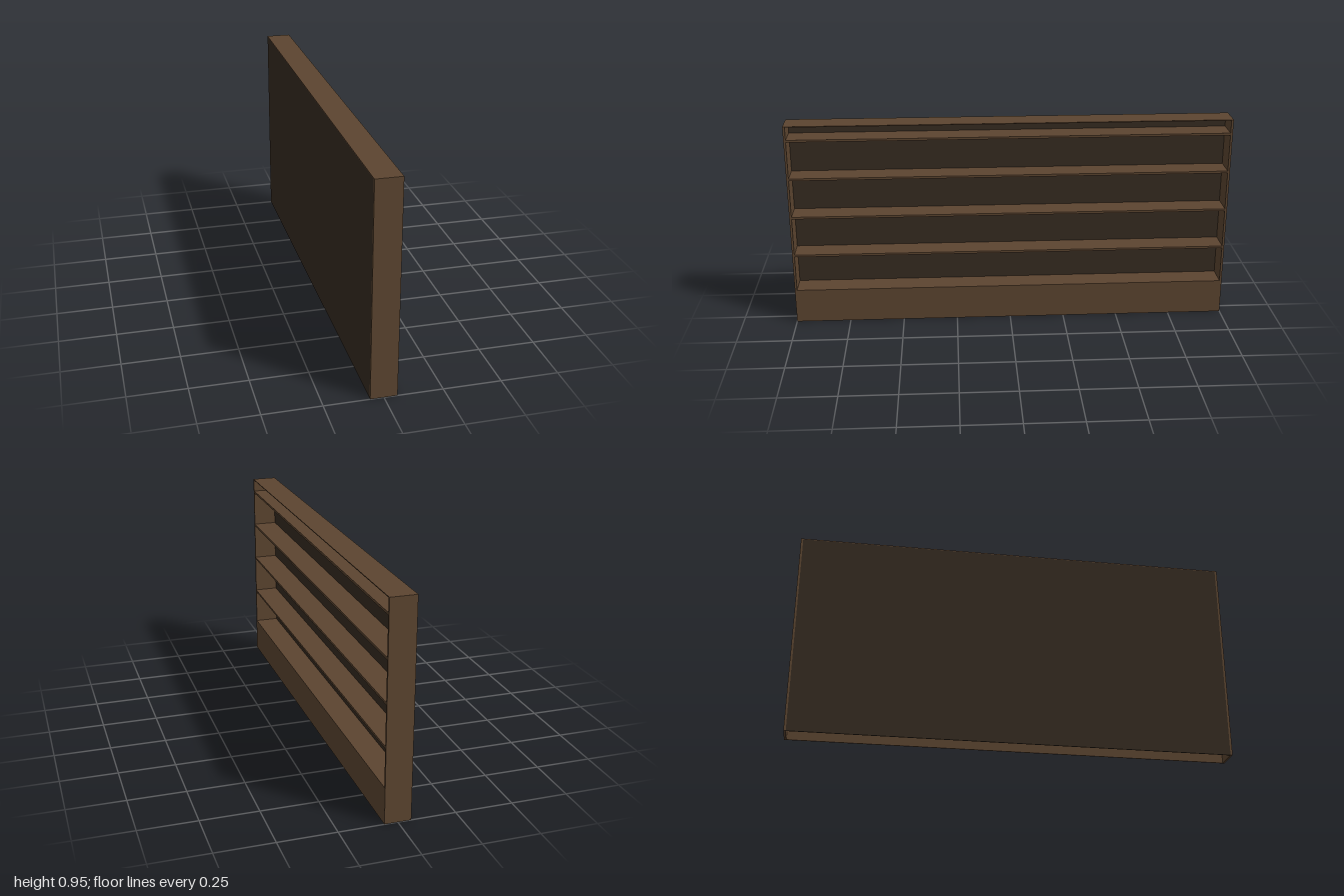
import * as THREE from 'three';

const HEIGHT = 0.95;
const DEPTH = 0.114;   // along x, open side faces +x
const LENGTH = 2;      // along z
const SIDE = 0.01;     // end panel thickness
const SHEET = 0.004;   // back and top thickness
const SHELF = 0.01;

export function createModel() {
  const group = new THREE.Group();
  const wood = new THREE.MeshStandardMaterial({ color: 0x5c4530 });
  const darkWood = new THREE.MeshStandardMaterial({ color: 0x362b21 });

  const board = (name, material, size, position) => {
    const mesh = new THREE.Mesh(new THREE.BoxGeometry(...size), material);
    mesh.name = name;
    mesh.position.set(...position);
    group.add(mesh);
  };

  const innerLength = LENGTH - 2 * SIDE;
  const innerDepth = DEPTH - SHEET;

  // End panels
  for (const s of [1, -1]) {
    board(s > 0 ? 'frontEndPanel' : 'backEndPanel', wood,
      [DEPTH, HEIGHT, SIDE], [0, HEIGHT / 2, s * (LENGTH - SIDE) / 2]);
  }

  // Dark rear panel and thin top
  board('rearPanel', darkWood, [SHEET, HEIGHT - SHEET, innerLength],
    [(SHEET - DEPTH) / 2, (HEIGHT - SHEET) / 2, 0]);
  board('topPanel', wood, [DEPTH, SHEET, innerLength],
    [0, HEIGHT - SHEET / 2, 0]);

  // Shelves, the lowest one resting level with the plinth
  [0.155, 0.333, 0.519, 0.703, 0.883].forEach((y, i) => {
    // The lowest shelf stops behind the plinth board
    const d = i === 0 ? innerDepth - SHEET : innerDepth;
    board(`shelf${i + 1}`, wood, [d, SHELF, innerLength],
      [-DEPTH / 2 + SHEET + d / 2, y, 0]);
  });

  // Plinth board closing the foot of the open side; the underside stays open
  board('plinth', wood, [SHEET, 0.16, innerLength],
    [(DEPTH - SHEET) / 2, 0.08, 0]);

  return group;
}
